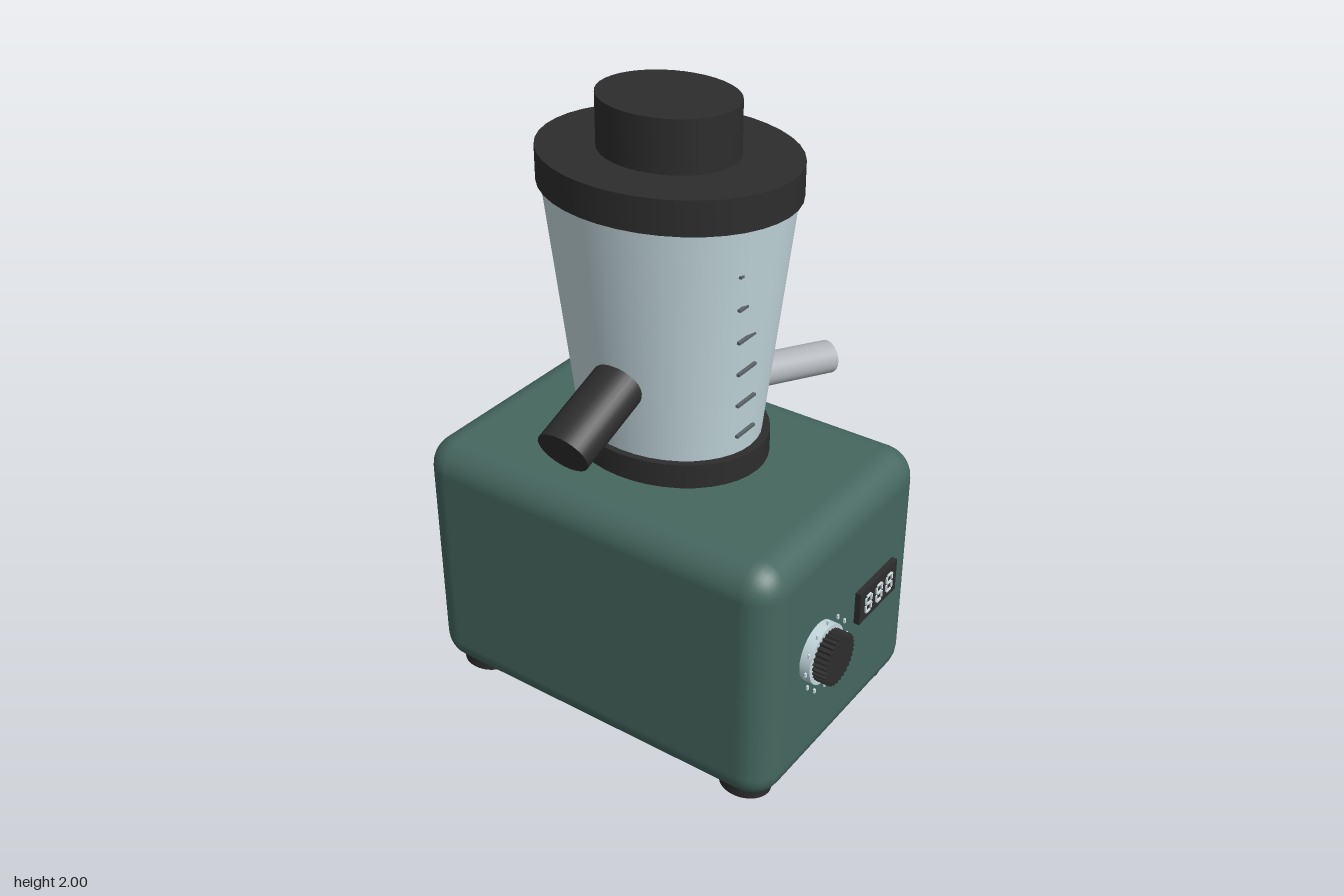
import * as THREE from 'three';
import { RoundedBoxGeometry } from 'three/addons/geometries/RoundedBoxGeometry.js';

const mat = (name, color, side = THREE.FrontSide) => {
  const m = new THREE.MeshStandardMaterial({ color, side });
  m.name = name;
  return m;
};

export function createModel() {
  const model = new THREE.Group();
  model.name = 'blender';
  const green = mat('green enamel', 0x45675f);
  const black = mat('black plastic', 0x2d2d2d);
  const glass = mat('pale blue glass', 0xc5dae0);
  const steel = mat('grey steel', 0xb0b4b9, THREE.DoubleSide);
  const markGrey = mat('mark grey', 0x5c6568);
  const lit = mat('display light', 0xd5e3e5);

  const DEPTH = 1.21;   // everything round is stretched front to back
  const CZ = -0.04;     // centre of body and jar
  const FRONT = 0.61;   // front face of body

  const add = (name, geo, material, x = 0, y = 0, z = 0, parent = model) => {
    const m = new THREE.Mesh(geo, material);
    m.name = name;
    m.position.set(x, y, z);
    parent.add(m);
    return m;
  };
  const box = (name, w, h, d, material, x, y, z, parent) =>
    add(name, new THREE.BoxGeometry(w, h, d), material, x, y, z, parent);
  // Upright oval drum between two heights
  const drum = (name, rBottom, rTop, y0, y1, material, x = 0, z = CZ, open = false) => {
    const geo = new THREE.CylinderGeometry(rTop, rBottom, y1 - y0, 40, 1, open);
    const m = add(name, geo, material, x, (y0 + y1) / 2, z);
    m.scale.z = DEPTH;
    return m;
  };
  // Round bar from point a to point b
  const bar = (name, a, b, r, material, open, widen) => {
    const p = new THREE.Vector3(...a), q = new THREE.Vector3(...b);
    const dir = q.clone().sub(p);
    const geo = new THREE.CylinderGeometry(r, r, dir.length(), 32, 1, open).scale(1, 1, widen);
    const m = add(name, geo, material);
    m.position.copy(p).add(q).multiplyScalar(0.5);
    m.quaternion.setFromUnitVectors(new THREE.Vector3(0, 1, 0), dir.normalize());
    return m;
  };

  // Motor body and feet
  add('body', new RoundedBoxGeometry(0.885, 0.855, 1.295, 4, 0.1), green, 0, 0.4425, -0.0375);
  for (const x of [-0.335, 0.335])
    for (const z of [-0.555, 0.48]) drum('foot', 0.07, 0.07, 0, 0.05, black, x, z);

  // Jar stack
  drum('neck', 0.225, 0.225, 0.85, 0.9, steel);
  drum('collar', 0.267, 0.267, 0.89, 0.97, black);
  drum('jar', 0.245, 0.322, 0.96, 1.74, glass);
  drum('lid', 0.333, 0.333, 1.735, 1.84, black);
  drum('lidCap', 0.18, 0.18, 1.83, 2, black);

  // Measuring marks on the jar
  for (let i = 0; i < 6; i++)
    box('measuringMark', 0.09, 0.008, 0.01, markGrey, -0.093, 1.08 + i * 0.102, 0.295);

  // Handle on the right, spout on the left
  bar('handle', [-0.2, 1.22, CZ], [-0.515, 1.1, CZ], 0.07, black, false, 1.25);
  bar('spout', [0.2, 1.06, 0.085], [0.522, 1.015, 0.208], 0.05, steel, true, 1.1);

  // Dial: base ring, fluted knob and surrounding marks
  const dial = new THREE.Group();
  dial.name = 'dial';
  dial.position.set(-0.165, 0.465, FRONT);
  model.add(dial);
  const ring = add('dialRing', new THREE.CylinderGeometry(0.097, 0.097, 0.04, 40), glass, 0, 0, 0.015, dial);
  ring.rotation.x = Math.PI / 2;
  const flutes = new THREE.Shape();
  const teeth = 30;
  for (let i = 0; i < teeth * 4; i++) {
    const a = (i / (teeth * 4)) * Math.PI * 2;
    const r = i % 4 < 2 ? 0.084 : 0.076;
    flutes[i ? 'lineTo' : 'moveTo'](r * Math.cos(a), r * Math.sin(a));
  }
  flutes.closePath();
  add('knob', new THREE.ExtrudeGeometry(flutes, { depth: 0.05, bevelEnabled: false }),
    black, 0, 0, 0.03, dial);
  for (let i = 0; i < 12; i++) {
    const a = (i / 12) * Math.PI * 2;
    box('dialMark', 0.007, 0.014, 0.006, lit, 0.117 * Math.cos(a), 0.117 * Math.sin(a), 0.033, dial);
  }

  // Display panel with three digits of seven segments
  box('displayPanel', 0.226, 0.115, 0.03, black, 0.17, 0.478, FRONT + 0.004);
  for (const x of [0.105, 0.17, 0.233]) {
    for (const dy of [-0.03, 0, 0.03])
      box('displaySegment', 0.024, 0.007, 0.005, lit, x, 0.478 + dy, FRONT + 0.022);
    for (const dx of [-0.016, 0.016])
      for (const dy of [-0.015, 0.015])
        box('displaySegment', 0.007, 0.022, 0.005, lit, x + dx, 0.478 + dy, FRONT + 0.022);
  }
  return model;
}
